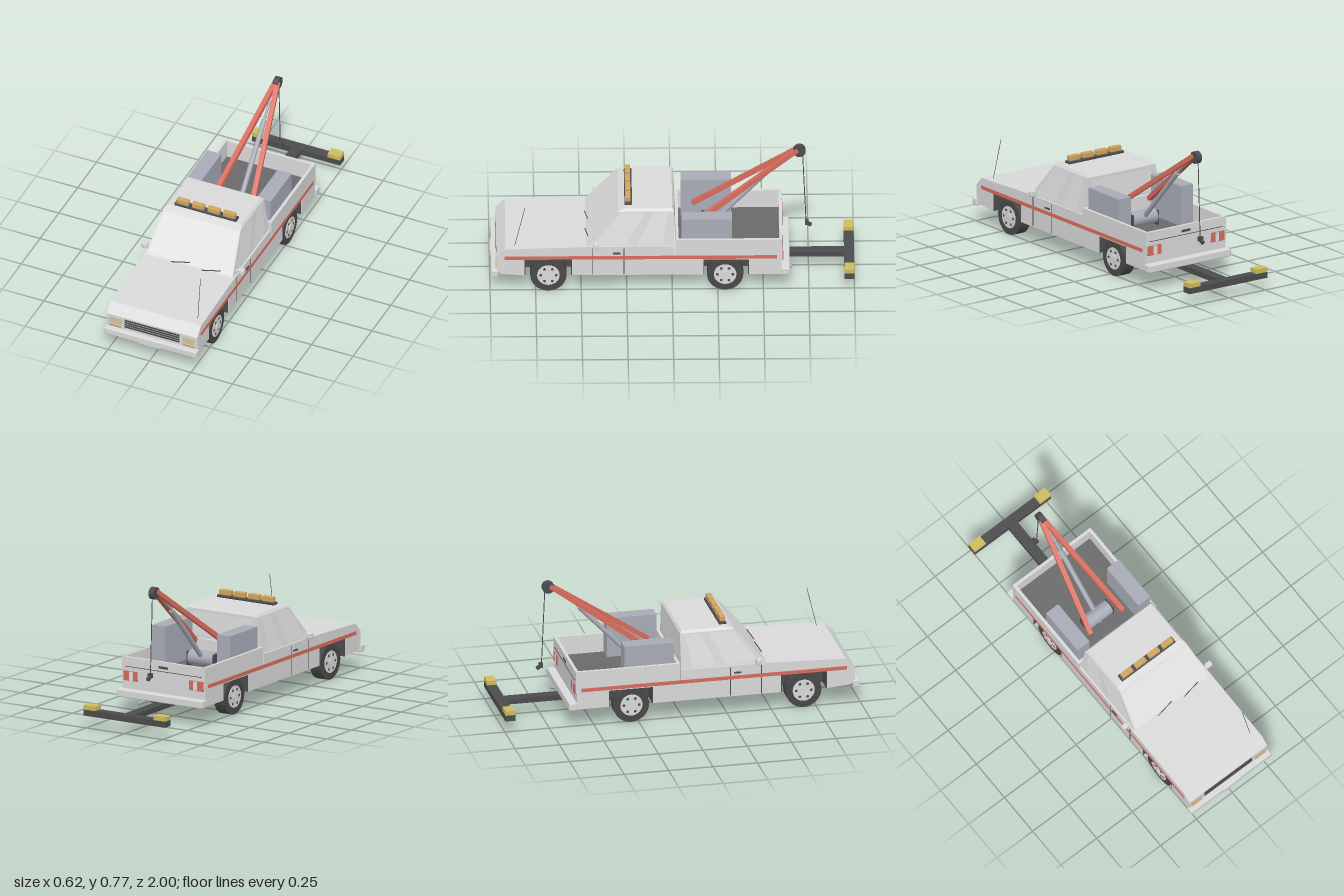
import * as THREE from 'three';
import { RoundedBoxGeometry } from 'three/addons/geometries/RoundedBoxGeometry.js';
import { ConvexGeometry } from 'three/addons/geometries/ConvexGeometry.js';

const material = (name, color) => {
  const m = new THREE.MeshStandardMaterial({ color });
  m.name = name;
  return m;
};

export function createModel() {
  const paint = material('greyWhitePaint', 0xd9d9d9);
  const glass = material('paleGlass', 0xe0e0e0);
  glass.side = THREE.DoubleSide;
  const dark = material('darkMetal', 0x4c4c4e);
  const rubber = material('rubber', 0x484848);
  const floorGrey = material('bedGrey', 0x6a6a6b);
  const steel = material('blueGreySteel', 0xa8abb6);
  const red = material('red', 0xd76c5d);
  const amber = material('amber', 0xcfa55f);
  const yellow = material('yellow', 0xcdbc5e);
  const lamp = material('headlightGlass', 0xd2c29c);

  const truck = new THREE.Group();
  truck.name = 'towTruck';
  const add = (name, geometry, mat, parent = truck) => {
    const mesh = new THREE.Mesh(geometry, mat);
    mesh.name = name;
    parent.add(mesh);
    return mesh;
  };
  // Box given by its limits on each axis
  const box = (name, mat, [x0, x1], [y0, y1], [z0, z1], round = 0, parent = truck) => {
    const size = [x1 - x0, y1 - y0, z1 - z0];
    const g = round ? new RoundedBoxGeometry(...size, 2, round) : new THREE.BoxGeometry(...size);
    const mesh = add(name, g, mat, parent);
    mesh.position.set((x0 + x1) / 2, (y0 + y1) / 2, (z0 + z1) / 2);
    return mesh;
  };
  // Box repeated on both sides
  const pair = (name, mat, [x0, x1], y, z, round = 0) => {
    box(name + 'Left', mat, [x0, x1], y, z, round);
    box(name + 'Right', mat, [-x1, -x0], y, z, round);
  };
  // Round rod or square beam between two points
  const between = (name, mat, a, b, geometryFor) => {
    const p = new THREE.Vector3(...a), q = new THREE.Vector3(...b);
    const mesh = add(name, geometryFor(p.distanceTo(q)), mat);
    mesh.position.copy(p).lerp(q, 0.5);
    mesh.lookAt(q);
    return mesh;
  };
  const rod = (name, mat, a, b, r, sides = 16) =>
    between(name, mat, a, b, (l) => new THREE.CylinderGeometry(r, r, l, sides).rotateX(Math.PI / 2));
  const beam = (name, mat, a, b, w, h) =>
    between(name, mat, a, b, (l) => new THREE.BoxGeometry(w, h, l));
  // Flat polygon from a few corners
  const pane = (name, mat, points) => {
    const g = new THREE.BufferGeometry();
    g.setAttribute('position', new THREE.Float32BufferAttribute(points.flat(), 3));
    g.setIndex(points.slice(2).flatMap((_, i) => [0, i + 1, i + 2]));
    g.computeVertexNormals();
    return add(name, g, mat);
  };

  // Lower body: side profile (z, y) with two wheel notches
  const profile = [
    [-0.6, 0.105], [-0.42, 0.105], [-0.42, 0.205], [-0.17, 0.205], [-0.17, 0.105],
    [0.55, 0.105], [0.55, 0.205], [0.81, 0.205], [0.81, 0.105], [0.94, 0.115],
    [0.965, 0.14], [0.965, 0.22], [0.915, 0.27], [0.46, 0.285], [-0.012, 0.285],
    [-0.012, 0.212], [-0.6, 0.212],
  ];
  const body = new THREE.Shape(profile.map((p) => new THREE.Vector2(...p)));
  add('body', new THREE.ExtrudeGeometry(body, { depth: 0.544, bevelEnabled: false })
    .rotateY(-Math.PI / 2).translate(0.272, 0, 0), paint);

  // Wheel well linings
  for (const [name, z0, z1] of [['front', 0.55, 0.81], ['rear', -0.42, -0.17]]) {
    box(name + 'WellTop', dark, [-0.27, 0.27], [0.2, 0.206], [z0, z1]);
    box(name + 'WellAhead', dark, [-0.27, 0.27], [0.106, 0.205], [z1 - 0.005, z1 + 0.001]);
    box(name + 'WellBehind', dark, [-0.27, 0.27], [0.106, 0.205], [z0 - 0.001, z0 + 0.005]);
    pair(name + 'WellInner', dark, [0.178, 0.184], [0.106, 0.205], [z0, z1]);
  }

  // Wheels
  for (const side of [1, -1]) {
    for (const z of [0.68, -0.29]) {
      const wheel = new THREE.Group();
      wheel.name = (z > 0 ? 'front' : 'rear') + 'Wheel' + (side > 0 ? 'Left' : 'Right');
      wheel.position.set(side * 0.225, 0.1, z);
      wheel.rotation.y = side > 0 ? 0 : Math.PI;
      const disc = (name, mat, r, x0, x1, y = 0, dz = 0, sides = 28) =>
        add(name, new THREE.CylinderGeometry(r, r, x1 - x0, sides).rotateZ(Math.PI / 2)
          .translate((x0 + x1) / 2, y, dz), mat, wheel);
      disc('tyre', rubber, 0.1, -0.035, 0.035);
      disc('rim', paint, 0.062, 0.03, 0.038);
      disc('hubCap', paint, 0.022, 0.03, 0.043, 0, 0, 16);
      for (let i = 0; i < 6; i++) {
        const a = (i / 6) * Math.PI * 2;
        disc('rimHole', dark, 0.008, 0.034, 0.039, Math.sin(a) * 0.043, Math.cos(a) * 0.043, 8);
      }
      truck.add(wheel);
    }
  }

  // Cab
  const cabHalf = [[0.262, 0.28, 0.475], [0.232, 0.485, 0.3], [0.222, 0.5, 0.265],
    [0.222, 0.5, 0], [0.232, 0.485, -0.01], [0.262, 0.28, -0.01]];
  add('cab', new ConvexGeometry(cabHalf.flatMap(([x, y, z]) =>
    [new THREE.Vector3(x, y, z), new THREE.Vector3(-x, y, z)])), paint);
  const shieldZ = (y, out = 0.002) => 0.475 - (y - 0.28) * 0.854 + out;
  pane('windshield', glass, [[-0.252, 0.292], [0.252, 0.292], [0.226, 0.48], [-0.226, 0.48]]
    .map(([x, y]) => [x, y, shieldZ(y)]));
  pane('rearWindow', glass, [[0.21, 0.34, -0.012], [-0.21, 0.34, -0.012],
    [-0.195, 0.47, -0.012], [0.195, 0.47, -0.012]]);
  const sideX = (y) => 0.264 - (y - 0.28) * 0.146;
  for (const s of [1, -1]) {
    const sidePane = (name, pts) => pane(name, glass, pts.map(([z, y]) => [s * sideX(y), y, z]));
    sidePane('doorWindow', [[0.43, 0.292], [0.25, 0.292], [0.15, 0.478], [0.285, 0.478]]);
    sidePane('quarterWindow', [[0.195, 0.292], [0.05, 0.292], [0.022, 0.478], [0.1, 0.478]]);
  }
  for (const x of [0, 0.185])
    beam('wiper', dark, [x, 0.304, shieldZ(0.304, 0.008)],
      [x - 0.108, 0.286, shieldZ(0.286, 0.008)], 0.004, 0.004);
  pair('mirrorArm', paint, [0.25, 0.28], [0.3, 0.31], [0.415, 0.43]);
  pair('mirror', paint, [0.272, 0.31], [0.288, 0.322], [0.405, 0.435], 0.006);

  // Roof light bar
  box('lightBarBase', dark, [-0.187, 0.187], [0.5, 0.514], [0.22, 0.262], 0.004);
  for (const x of [-0.14, -0.047, 0.047, 0.14])
    box('warningLight', amber, [x - 0.036, x + 0.036], [0.514, 0.543], [0.228, 0.258], 0.003);

  // Side trim
  pair('stripe', red, [0.27, 0.275], [0.206, 0.226], [-0.575, 0.92]);
  for (const z of [0.44, 0.265]) {
    pair('doorSeamUpper', dark, [0.27, 0.2735], [0.226, 0.275], [z - 0.002, z + 0.002]);
    pair('doorSeamLower', dark, [0.27, 0.2735], [0.11, 0.206], [z - 0.002, z + 0.002]);
  }
  pair('doorHandle', dark, [0.27, 0.279], [0.24, 0.248], [0.285, 0.325]);
  rod('antenna', dark, [0.23, 0.272, 0.865], [0.22, 0.505, 0.808], 0.0015, 6);

  // Front end
  box('frontBumper', paint, [-0.28, 0.28], [0.1, 0.14], [0.955, 0.995], 0.006);
  box('frontPlate', paint, [-0.062, 0.062], [0.102, 0.138], [0.99, 1]);
  for (let i = 0; i < 4; i++)
    box('grilleSlot', dark, [-0.165, 0.165], [0.156 + i * 0.0145, 0.166 + i * 0.0145], [0.961, 0.967]);
  pair('headlight', lamp, [0.185, 0.256], [0.166, 0.205], [0.961, 0.969]);
  pair('turnSignal', amber, [0.187, 0.256], [0.146, 0.156], [0.961, 0.969]);

  // Open bed
  box('bedFloor', floorGrey, [-0.258, 0.258], [0.208, 0.217], [-0.592, -0.03]);
  pair('bedSide', paint, [0.255, 0.272], [0.2, 0.325], [-0.605, -0.018]);
  box('bedFront', paint, [-0.256, 0.256], [0.2, 0.325], [-0.034, -0.018]);
  box('tailgate', paint, [-0.256, 0.256], [0.2, 0.323], [-0.605, -0.588]);
  box('tailgateSeam', dark, [-0.25, 0.25], [0.268, 0.271], [-0.6075, -0.603]);
  box('tailgateHandle', dark, [-0.03, 0.03], [0.285, 0.298], [-0.608, -0.603]);
  pair('tailLight', red, [0.17, 0.26], [0.19, 0.245], [-0.609, -0.6]);
  pair('reverseLight', glass, [0.198, 0.222], [0.192, 0.243], [-0.611, -0.604]);
  box('rearBumper', paint, [-0.28, 0.28], [0.102, 0.145], [-0.645, -0.597], 0.006);
  rod('exhaust', steel, [0.14, 0.08, -0.4], [0.14, 0.08, -0.655], 0.01, 12);
  pair('toolBox', steel, [0.17, 0.254], [0.217, 0.445], [-0.328, -0.05]);

  // Winch and boom
  rod('winchDrum', steel, [-0.08, 0.265, -0.2], [0.08, 0.265, -0.2], 0.042, 20);
  pair('winchBracket', dark, [0.08, 0.09], [0.217, 0.3], [-0.235, -0.165]);
  for (const s of [1, -1])
    beam('boomArm', red, [s * 0.112, 0.335, -0.115], [s * 0.006, 0.742, -0.69], 0.027, 0.025);
  rod('liftCylinder', steel, [0, 0.225, -0.17], [0, 0.6, -0.525], 0.014);
  rod('liftRod', steel, [0, 0.59, -0.515], [0, 0.68, -0.6], 0.007, 12);
  rod('boomPulley', dark, [-0.016, 0.733, -0.7], [0.016, 0.733, -0.7], 0.034, 20);
  rod('cable', dark, [0, 0.715, -0.718], [0, 0.275, -0.737], 0.0025, 6);
  box('hookBlock', dark, [-0.012, 0.012], [0.262, 0.288], [-0.75, -0.73]);
  beam('hook', dark, [0, 0.272, -0.738], [0, 0.256, -0.765], 0.016, 0.018);

  // Wheel lift
  box('liftBar', dark, [-0.03, 0.03], [0.07, 0.1], [-0.95, -0.515]);
  box('liftCrossbar', dark, [-0.266, 0.266], [0.068, 0.102], [-1, -0.945]);
  pair('liftPad', yellow, [0.19, 0.266], [0.102, 0.127], [-1, -0.945]);

  return truck;
}
